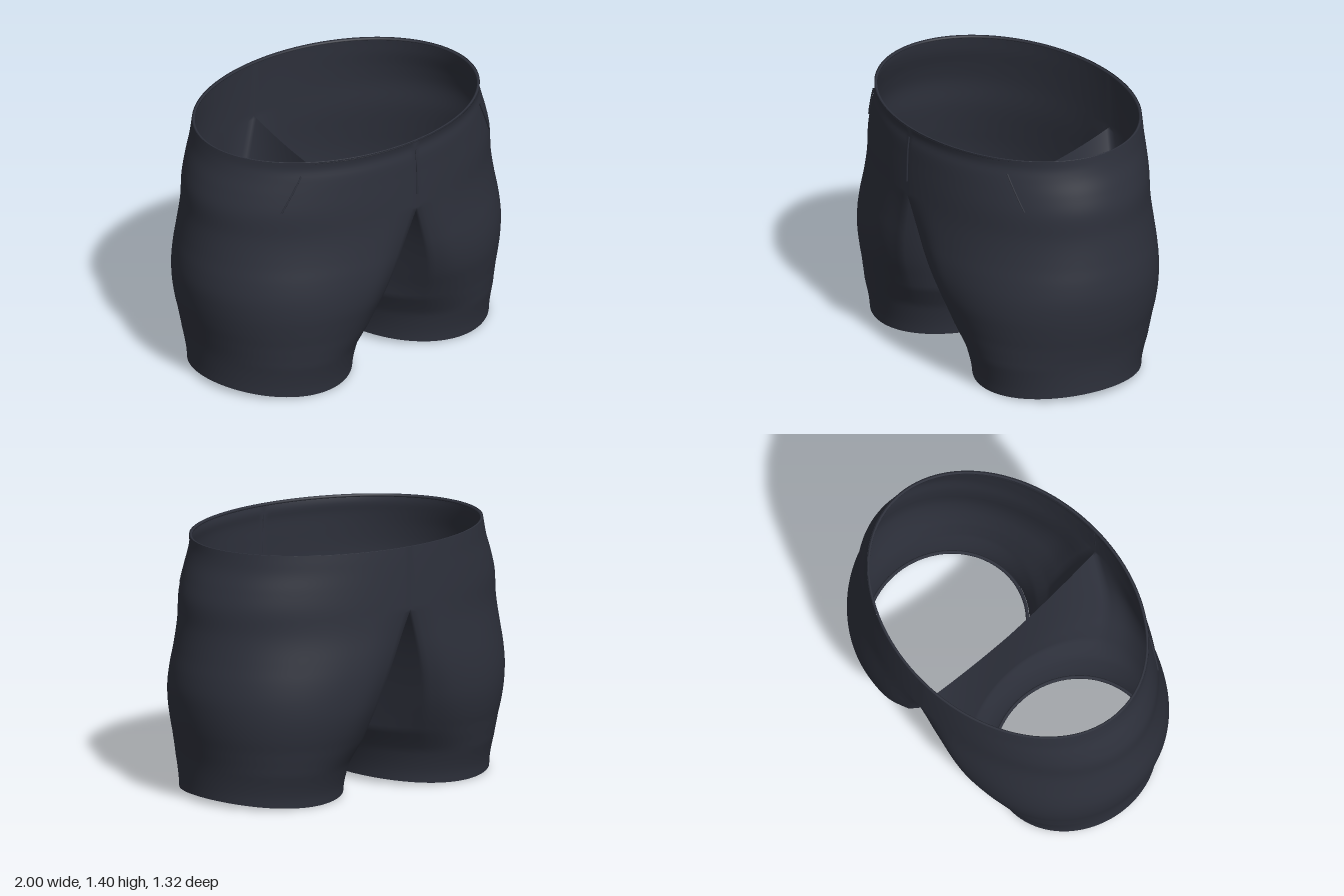
import * as THREE from 'three';

const HEM = 0.03, CROTCH = 1.0, WAIST = 1.4;
const CORNER = THREE.MathUtils.degToRad(120); // where outer cloth meets the inner wall
const { clamp, lerp, smoothstep } = THREE.MathUtils;

// Silhouette by height: outer x, front z, back z
const heights = [0.03, 0.08, 0.2, 0.3, 0.4, 0.5, 0.6, 0.7, 0.8, 0.95, 1.1, 1.2, 1.3, 1.355, 1.4];
const outline = [
  0.92, 0.487, -0.447, 0.921, 0.494, -0.454, 0.932, 0.527, -0.497, 0.952, 0.564, -0.544,
  0.975, 0.6, -0.588, 0.992, 0.633, -0.622, 1.0, 0.653, -0.643, 0.993, 0.661, -0.655,
  0.977, 0.66, -0.659, 0.956, 0.656, -0.656, 0.947, 0.653, -0.653, 0.92, 0.65, -0.65,
  0.885, 0.646, -0.646, 0.872, 0.638, -0.643, 0.866, 0.647, -0.64,
];
const profile = new THREE.CubicInterpolant(heights, outline, 3, new Float32Array(3));

// Point on one half of the shorts: half ellipse at the hip easing into a leg ellipse
function clothPoint(y, phi) {
  const a = phi > Math.PI ? phi - 2 * Math.PI : phi;
  const onWall = Math.abs(a) > CORNER + 1e-6;
  const theta = (a / CORNER) * Math.PI / 2;
  const dz = onWall ? Math.sin(a) / Math.sin(CORNER) : Math.sin(theta);

  // The seat seam ends higher than the front one
  const rise = y < CROTCH ? smoothstep(y, 0.3, CROTCH) : (WAIST - y) / (WAIST - CROTCH);
  let h = y + 0.06 * Math.max(0, -dz) * rise;
  const [X, zF, zB] = profile.evaluate(h);
  const zc = (zF + zB) / 2, rz = (zF - zB) / 2;
  const dx = onWall ? 0 : X * Math.cos(theta);

  const gap = clamp((y - HEM) / 0.29, 0, 1);
  const inner = 0.07 * (1 - gap ** 1.7);
  const ex = (X + inner) / 2 + (X - inner) / 2 * Math.cos(a);

  // The corner rounds off early, the rest of the leg follows lower down
  const t = clamp((CROTCH - y) / 0.8, 0, 1);
  const nearCorner = smoothstep(Math.abs(a), 1.6, CORNER);
  const m = lerp(t * t * (1.6 - 0.6 * t), t * (1.3 - 0.3 * t), nearCorner);
  const x = Math.max(0, dx + (ex - dx) * m);
  const z = zc + rz * (dz + (Math.sin(a) - dz) * m);

  // Curved hem below, sagging top edge on the inner wall
  h -= 0.03 * Math.sin(a) ** 2 * Math.max(0, 1 - (y - HEM) / 0.3);
  if (onWall) h -= 0.1 * (1 - dz * dz) * Math.max(0, (y - 0.4) / 0.6);
  return new THREE.Vector3(x, h, z);
}

function halfGeometry() {
  const cols = 120, legRows = 50, hipRows = 24, rows = legRows + hipRows;
  const corner = cols / 3; // column index at the seam
  const pos = [], idx = [];
  for (let j = 0; j <= rows; j++) {
    const y = j <= legRows
      ? HEM + (CROTCH - HEM) * j / legRows
      : CROTCH + (WAIST - CROTCH) * (j - legRows) / hipRows;
    for (let i = 0; i < cols; i++) pos.push(...clothPoint(y, i / cols * 2 * Math.PI).toArray());
  }
  for (let j = 0; j < rows; j++) {
    for (let i = 0; i < cols; i++) {
      // The inner wall stops at the crotch
      if (j >= legRows && i >= corner && i < cols - corner) continue;
      const n = (i + 1) % cols;
      const a = j * cols + i, b = j * cols + n, c = b + cols, d = a + cols;
      idx.push(a, d, b, b, d, c);
    }
  }
  const geo = new THREE.BufferGeometry();
  geo.setAttribute('position', new THREE.Float32BufferAttribute(pos, 3));
  geo.setIndex(idx);
  geo.computeVertexNormals();
  // Both halves share the same normal along the centre seam of the hip
  const nor = geo.attributes.normal;
  for (let j = legRows; j <= rows; j++) {
    nor.setXYZ(j * cols + corner, 0, 0, 1);
    nor.setXYZ(j * cols + cols - corner, 0, 0, -1);
  }
  return geo;
}

export function createModel() {
  const group = new THREE.Group();
  const cloth = new THREE.MeshStandardMaterial({ color: 0x2e313c, side: THREE.DoubleSide });

  function add(name, geo, mirrored = false) {
    const mesh = new THREE.Mesh(geo, cloth);
    mesh.name = name;
    if (mirrored) mesh.scale.x = -1;
    group.add(mesh);
  }
  function cord(points, radius, closed = false) {
    const curve = new THREE.CatmullRomCurve3(points, closed);
    return new THREE.TubeGeometry(curve, closed ? 96 : 12, radius, 6, closed);
  }

  // Hem fold round the leg opening
  const hemPoints = [];
  for (let i = 0; i < 48; i++) {
    const p = clothPoint(HEM, i / 48 * 2 * Math.PI);
    p.x += (0.495 - p.x) * 0.025;
    p.z += (0.02 - p.z) * 0.025;
    p.y += 0.009;
    hemPoints.push(p);
  }

  // Pocket opening lying on the hip
  const pocketPoints = [];
  for (let i = 0; i <= 6; i++) {
    const y = 1.32 - 0.2 * i / 6, x = 0.645 + 0.105 * i / 6;
    const [X, zF, zB] = profile.evaluate(y);
    const z = (zF + zB) / 2 + (zF - zB) / 2 * Math.sqrt(1 - (x / X) ** 2);
    pocketPoints.push(new THREE.Vector3(x + 0.003, y, z + 0.004));
  }

  const half = halfGeometry(), hem = cord(hemPoints, 0.01, true), pocket = cord(pocketPoints, 0.005);
  for (const [side, mirrored] of [['left', false], ['right', true]]) {
    add(side + 'Half', half, mirrored);
    add(side + 'Hem', hem, mirrored);
    add(side + 'Pocket', pocket, mirrored);
  }

  // Waist edge, folded just inside the rim
  const waistPoints = [];
  for (let i = 0; i < 64; i++) {
    const a = i / 64 * 2 * Math.PI;
    waistPoints.push(new THREE.Vector3(0.858 * Math.cos(a), WAIST - 0.008, 0.0035 + 0.635 * Math.sin(a)));
  }
  add('waistEdge', cord(waistPoints, 0.008, true));

  // Fly seam
  const flyPoints = [1.34, 1.25, 1.16, 1.08].map((y) => new THREE.Vector3(0, y, profile.evaluate(y)[1] + 0.004));
  add('flySeam', cord(flyPoints, 0.005));
  return group;
}
